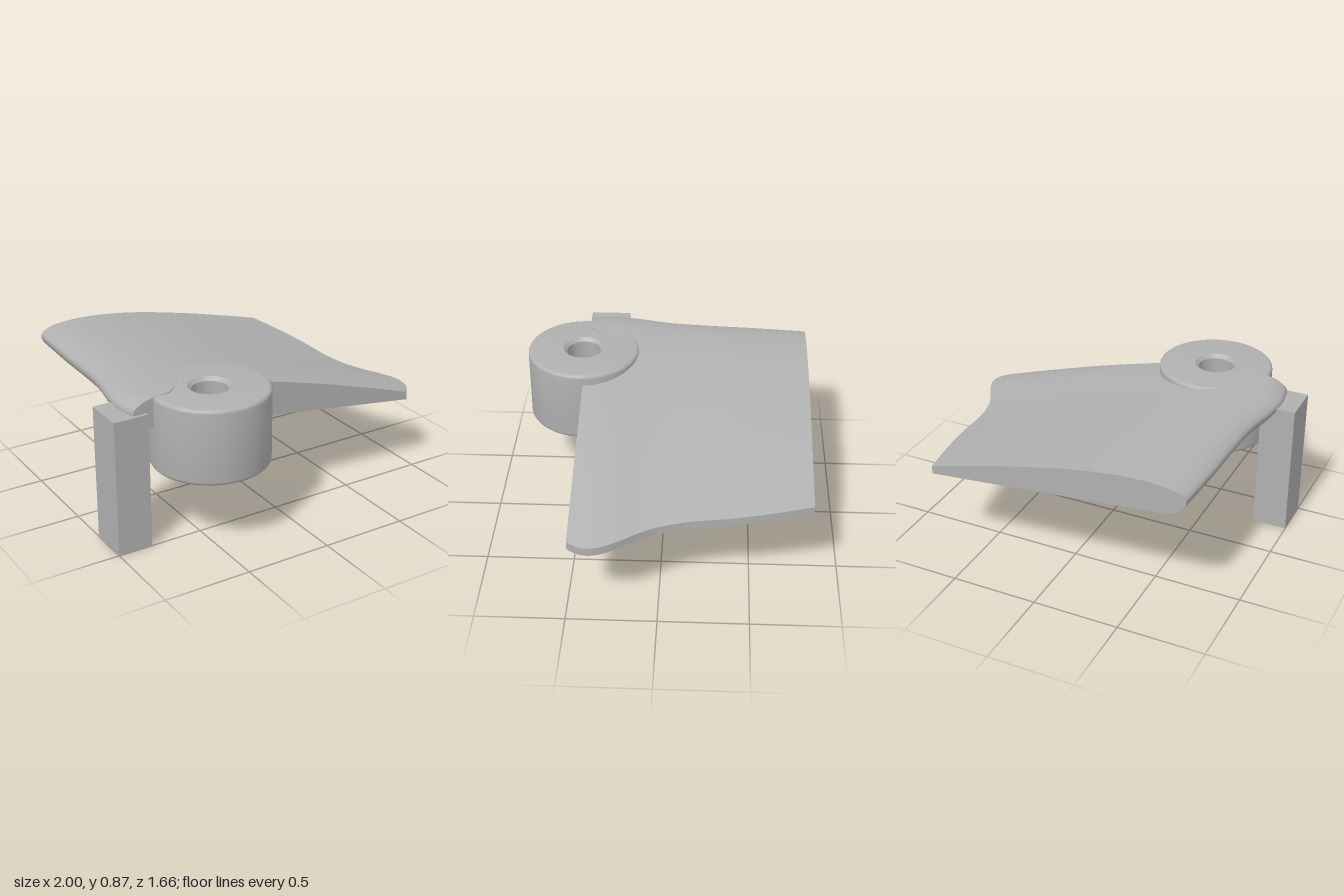
import * as THREE from 'three';
import { toCreasedNormals } from 'three/addons/utils/BufferGeometryUtils.js';

// Smooth interpolation through [x, y] points sorted by x
function smooth(points) {
  const slope = (i) => {
    const a = points[Math.max(i - 1, 0)], b = points[Math.min(i + 1, points.length - 1)];
    return (b[1] - a[1]) / (b[0] - a[0]);
  };
  return (x) => {
    let i = 0;
    while (i < points.length - 2 && x > points[i + 1][0]) i++;
    const [x0, y0] = points[i], [x1, y1] = points[i + 1];
    const h = x1 - x0, t = (x - x0) / h, s = 1 - t;
    return s * s * (1 + 2 * t) * y0 + t * t * (3 - 2 * t) * y1
      + h * t * s * (s * slope(i) - t * slope(i + 1));
  };
}

// Grid surface; faces point along (i direction) x (j direction)
function grid(ni, nj, fn) {
  const pos = [], index = [];
  for (let j = 0; j <= nj; j++) for (let i = 0; i <= ni; i++) pos.push(...fn(i / ni, j / nj));
  for (let j = 0; j < nj; j++) for (let i = 0; i < ni; i++) {
    const a = j * (ni + 1) + i, c = a + ni + 1;
    index.push(a, a + 1, c, a + 1, c + 1, c);
  }
  const g = new THREE.BufferGeometry();
  g.setAttribute('position', new THREE.Float32BufferAttribute(pos, 3));
  g.setIndex(index);
  g.computeVertexNormals();
  return g;
}

const HUB = { x: -0.43, z: 0.5, r: 0.33, bottom: 0.43, top: 0.86 };
const BACK = -0.83, FRONT = 0.48;

// Blade outline along z
const leadX = smooth([[-0.83, -0.8], [-0.5, -0.82], [-0.2, -0.83], [0, -0.845],
  [0.2, -0.885], [0.35, -0.9], [0.48, -0.88]]);
const trailX = smooth([[-0.83, 0.71], [-0.6, 0.755], [-0.4, 0.785], [-0.15, 0.805], [0, 0.84],
  [0.1, 0.885], [0.2, 0.945], [0.28, 0.985], [0.35, 1], [0.42, 0.985], [0.48, 0.94]]);

// Airfoil heights above and below the chord, against the root of the chord fraction
const upper = smooth([[0, 0], [0.14, 0.05], [0.21, 0.078], [0.37, 0.121], [0.51, 0.142],
  [0.656, 0.137], [0.81, 0.095], [0.93, 0.04], [1, 0]]);
const nose = smooth([[0, 0], [0.1, -0.04], [0.2, -0.075], [0.27, -0.085]]);
const lower = (t) => (t < 0.27 ? nose(t) : -0.0878 + 0.0398 * t * t);

// Blade point: t = root of chord fraction, v = back to front, side = upper or lower
function bladePoint(t, v, side) {
  const u = t * t;
  // The front end is notched inside the hub wall so the bore stays clear
  const d = Math.abs(-0.88 + 1.82 * u - HUB.x) / 0.26;
  const end = FRONT - (d < 1 ? 0.2 * Math.cos(d * Math.PI / 2) ** 2 : 0);
  const z = BACK + v * (end - BACK);
  const k = (z - BACK) / (FRONT - BACK);
  const x = THREE.MathUtils.lerp(leadX(z), trailX(z), u);
  const chord = THREE.MathUtils.lerp(0.77 + 0.015 * k, 0.585 - 0.095 * k, u);
  const y = chord + (side > 0 ? upper(t) * (0.75 + 0.25 * k) : lower(t));
  return [x, y, z];
}

export function createModel() {
  const model = new THREE.Group();
  const grey = new THREE.MeshStandardMaterial({ color: 0xb0b0b0 });
  grey.name = 'plain grey';
  const add = (name, geometry, parent = model) => {
    const mesh = new THREE.Mesh(geometry, grey);
    mesh.name = name;
    parent.add(mesh);
    return mesh;
  };

  // Hub ring with rounded rims and a chamfered bore
  const { r, bottom, top } = HUB, f = 0.022, bore = 0.1, cham = 0.02;
  const profile = [[bore, bottom + cham], [bore + cham, bottom]];
  const corner = (cy, start) => {
    for (let i = 0; i <= 5; i++) {
      const a = start + (i / 5) * Math.PI / 2;
      profile.push([r - f + f * Math.cos(a), cy + f * Math.sin(a)]);
    }
  };
  corner(bottom + f, -Math.PI / 2);
  corner(top - f, 0);
  profile.push([bore + cham, top], [bore, top - cham], [bore, bottom + cham]);
  const lathe = new THREE.LatheGeometry(profile.map(([x, y]) => new THREE.Vector2(x, y)), 72);
  const hub = add('hub', toCreasedNormals(lathe, 0.5));
  hub.position.set(HUB.x, 0, HUB.z);

  // Control post beside the hub
  add('post', new THREE.BoxGeometry(0.2, 0.78, 0.24)).position.set(-0.9, 0.39, 0.38);

  // Airfoil blade: wrapped skin, trailing edge and two end faces
  const blade = new THREE.Group();
  blade.name = 'blade';
  model.add(blade);
  add('bladeSkin', grid(96, 48, (i, j) => bladePoint(Math.abs(1 - 2 * i), j, i <= 0.5 ? 1 : -1)), blade);
  const between = (t, v, k) => {
    const a = bladePoint(t, v, -1), b = bladePoint(t, v, 1);
    return a.map((n, c) => n + (b[c] - n) * k);
  };
  add('bladeTrailingEdge', grid(1, 48, (i, j) => between(1, j, i)), blade);
  add('bladeFrontEnd', toCreasedNormals(grid(48, 1, (i, j) => between(i, 1, j)), 0.5), blade);
  add('bladeBackEnd', grid(48, 1, (i, j) => between(1 - i, 0, j)), blade);

  return model;
}
